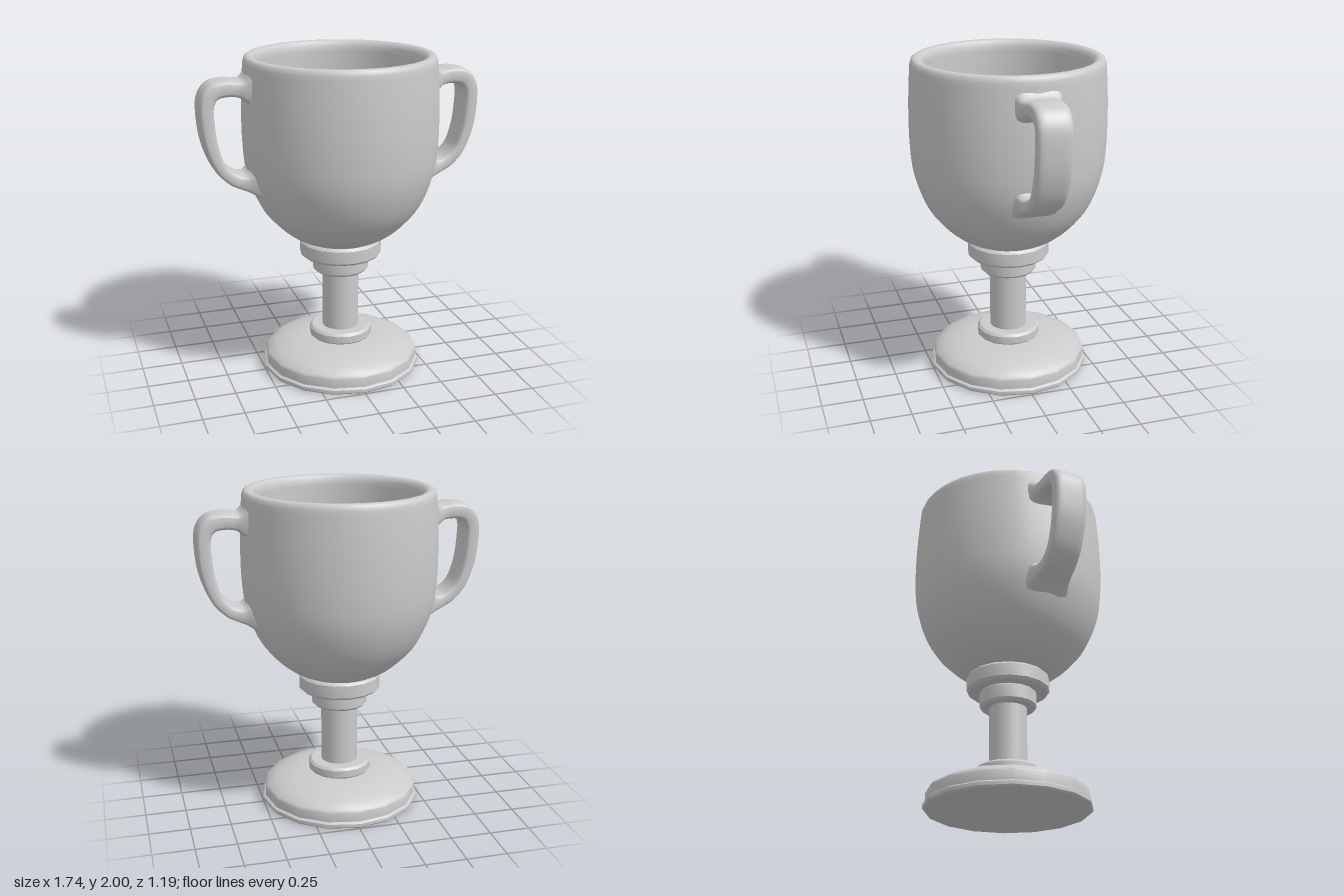
import * as THREE from 'three';
import { toCreasedNormals } from 'three/addons/utils/BufferGeometryUtils.js';

const material = new THREE.MeshStandardMaterial({ color: 0xcccccc });

function addMesh(parent, name, geometry) {
  const mesh = new THREE.Mesh(geometry, material);
  mesh.name = name;
  parent.add(mesh);
  return mesh;
}

const toPoints = (pairs) => pairs.map(([x, y]) => new THREE.Vector2(x, y));

// Turned part with crisp edges
function turned(pairs, sides) {
  return toCreasedNormals(new THREE.LatheGeometry(toPoints(pairs), sides), 0.6);
}

// Disc-like ring with a small bevel on both edges
function ring(radius, bottom, top, bevel = 0.015) {
  return turned([
    [0, bottom], [radius - bevel, bottom], [radius, bottom + bevel],
    [radius, top - bevel], [radius - bevel, top], [0, top],
  ], 16);
}

// Bowl: smooth outer wall, rounded rim, smooth inner wall
function bowlGeometry() {
  const outer = new THREE.SplineCurve(toPoints([
    [0.22, 0.845], [0.31, 0.89], [0.4, 0.965], [0.48, 1.06], [0.54, 1.18],
    [0.58, 1.32], [0.595, 1.5], [0.595, 1.7], [0.588, 1.85], [0.58, 1.965],
  ])).getPoints(28);
  const rim = toPoints([[0.573, 1.99], [0.557, 2], [0.535, 2], [0.515, 1.99]]);
  const inner = new THREE.SplineCurve(toPoints([
    [0.502, 1.965], [0.5, 1.8], [0.5, 1.5], [0.48, 1.32],
    [0.43, 1.16], [0.33, 1.03], [0.18, 0.95], [0, 0.93],
  ])).getPoints(24);
  inner[inner.length - 1].x = 0;
  const floor = new THREE.Vector2(0, 0.845);
  return new THREE.LatheGeometry([floor, ...outer, ...rim, ...inner], 32);
}

// Handle: rounded-rectangle sections between an outer and an inner edge curve
function handleGeometry() {
  // outer x, outer y, inner x, inner y, half width
  const stations = [
    [0.55, 1.95, 0.55, 1.71, 0.15],
    [0.6, 1.89, 0.605, 1.765, 0.122],
    [0.64, 1.885, 0.64, 1.787, 0.107],
    [0.71, 1.892, 0.7, 1.792, 0.102],
    [0.8, 1.873, 0.755, 1.78, 0.102],
    [0.858, 1.8, 0.778, 1.735, 0.102],
    [0.87, 1.69, 0.778, 1.66, 0.102],
    [0.85, 1.52, 0.765, 1.53, 0.102],
    [0.79, 1.365, 0.73, 1.41, 0.102],
    [0.71, 1.275, 0.68, 1.35, 0.102],
    [0.64, 1.237, 0.63, 1.326, 0.107],
    [0.58, 1.21, 0.59, 1.33, 0.122],
    [0.52, 1.165, 0.54, 1.385, 0.15],
  ];
  const spline = (f) => new THREE.CatmullRomCurve3(stations.map(f), false, 'catmullrom');
  const outer = spline((s) => new THREE.Vector3(s[0], s[1], s[4]));
  const inner = spline((s) => new THREE.Vector3(s[2], s[3], s[4]));
  const rows = 60, sides = 24;
  const positions = [], index = [];
  const round = (v) => Math.sign(v) * Math.pow(Math.abs(v), 0.5);

  for (let i = 0; i <= rows; i++) {
    const o = outer.getPoint(i / rows), n = inner.getPoint(i / rows);
    for (let j = 0; j < sides; j++) {
      const a = (j / sides) * Math.PI * 2;
      const k = (1 + round(Math.cos(a))) / 2;
      positions.push(
        n.x + (o.x - n.x) * k,
        n.y + (o.y - n.y) * k,
        o.z * round(Math.sin(a)),
      );
      if (i < rows) {
        const p = i * sides + j, q = i * sides + ((j + 1) % sides);
        index.push(p, q, p + sides, q, q + sides, p + sides);
      }
    }
  }
  const geometry = new THREE.BufferGeometry();
  geometry.setAttribute('position', new THREE.Float32BufferAttribute(positions, 3));
  geometry.setIndex(index);
  geometry.computeVertexNormals();
  return geometry;
}

export function createModel() {
  const group = new THREE.Group();
  group.name = 'trophyCup';

  // Foot with a thin lip and a low domed top
  addMesh(group, 'base', turned([
    [0, 0], [0.49, 0], [0.5, 0.01], [0.5, 0.03], [0.49, 0.038], [0.485, 0.04],
    [0.485, 0.1], [0.475, 0.115], [0.42, 0.145], [0.35, 0.168],
    [0.27, 0.185], [0.19, 0.19], [0, 0.19],
  ], 16));

  // Stem and its stepped rings
  addMesh(group, 'lowerRing', ring(0.198, 0.185, 0.26));
  addMesh(group, 'stem', new THREE.CylinderGeometry(0.115, 0.115, 0.4, 24).translate(0, 0.45, 0));
  addMesh(group, 'smallCollar', ring(0.175, 0.638, 0.75));
  addMesh(group, 'largeCollar', ring(0.255, 0.742, 0.85));

  addMesh(group, 'bowl', bowlGeometry());

  // Two matching handles
  const handle = handleGeometry();
  addMesh(group, 'leftHandle', handle);
  addMesh(group, 'rightHandle', handle).rotation.y = Math.PI;

  return group;
}
